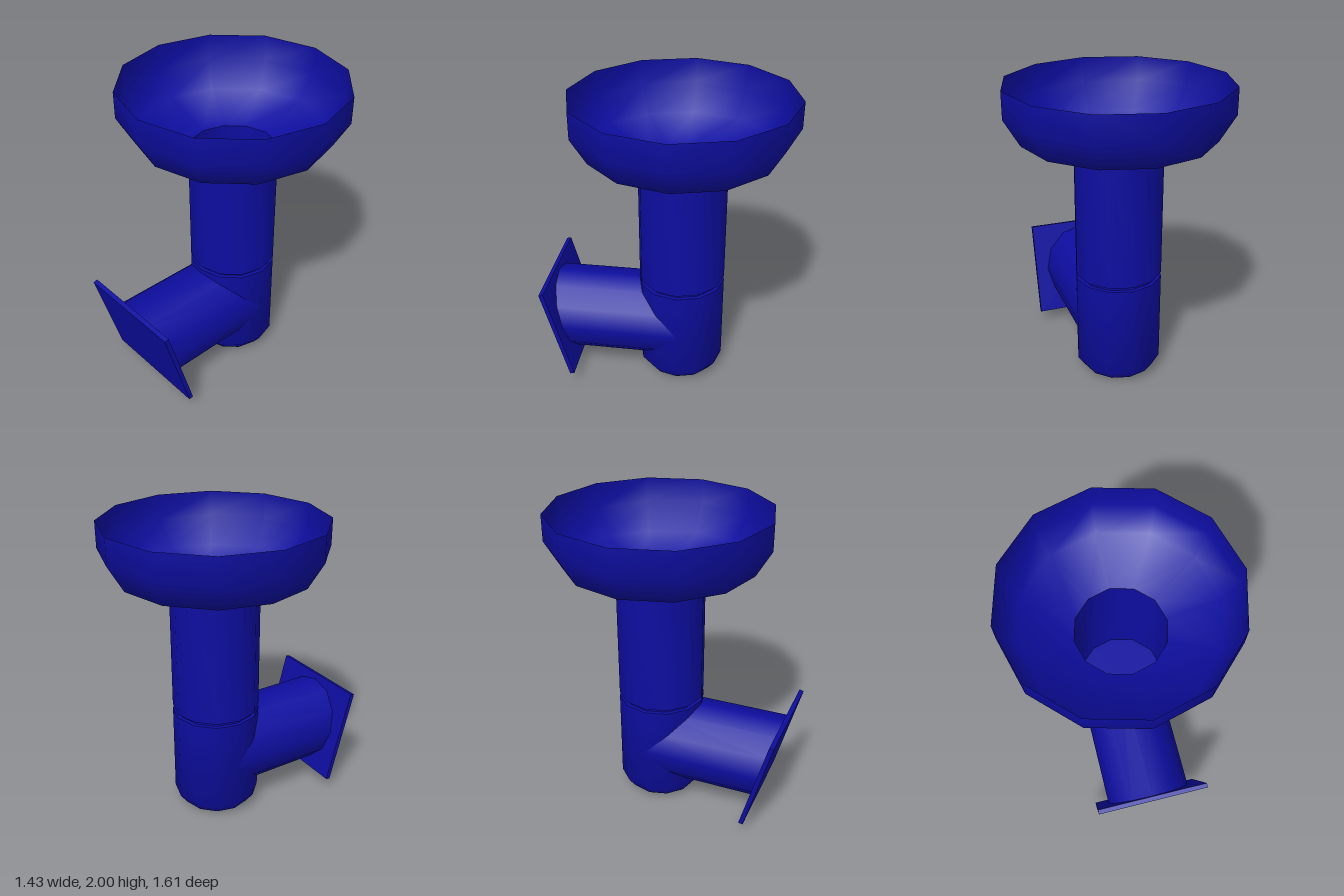
import * as THREE from 'three';
import { toCreasedNormals } from 'three/addons/utils/BufferGeometryUtils.js';

const SIDES = 12;
const R = 0.287;        // pipe radius
const NECK = 0.26;      // groove radius
const AXIS_Z = -0.092;  // upright pipe axis
const TILT = THREE.MathUtils.degToRad(15);
const PLATE = { y: 0.402, z: 0.703, width: 0.745, height: 0.66, depth: 0.03 };

export function createModel() {
  const group = new THREE.Group();
  const material = new THREE.MeshStandardMaterial({ color: 0x0d0da0, side: THREE.DoubleSide });

  const add = (name, geometry) => {
    const mesh = new THREE.Mesh(geometry, material);
    mesh.name = name;
    group.add(mesh);
    return mesh;
  };

  // Turned part around the upright axis, profile given bottom to top
  const turned = (name, profile) => {
    const points = profile.map(([r, y]) => new THREE.Vector2(r, y));
    const mesh = add(name, toCreasedNormals(new THREE.LatheGeometry(points, SIDES), 0.87));
    mesh.position.z = AXIS_Z;
    return mesh;
  };

  // Lower body: rounded foot with a small recess, and a capped neck on top
  turned('lowerBody', [
    [0, 0.02], [0.09, 0.02], [0.11, 0.004], [0.12, 0], [0.235, 0.025], [R, 0.095],
    [R, 0.715], [NECK, 0.715], [NECK, 0.742], [0, 0.742],
  ]);

  // Upper pipe flaring into the open bowl
  turned('pipeAndBowl', [
    [NECK, 0.742], [R, 0.742], [R, 1.545], [0.615, 1.66], [0.715, 1.83], [0.715, 2],
  ]);

  // Horizontal branch, its front end sheared to meet the tilted plate
  const branch = new THREE.CylinderGeometry(R, R, 1, SIDES, 1, true).rotateX(Math.PI / 2);
  const pos = branch.attributes.position;
  for (let i = 0; i < pos.count; i++) {
    const end = PLATE.z - 0.01 + pos.getY(i) * Math.tan(TILT);
    pos.setZ(i, pos.getZ(i) > 0 ? end : AXIS_Z);
  }
  add('branchPipe', branch).position.y = PLATE.y;

  // Tilted mounting plate
  const plate = add('mountingPlate', new THREE.BoxGeometry(PLATE.width, PLATE.height, PLATE.depth));
  plate.position.set(0, PLATE.y, PLATE.z);
  plate.rotation.x = TILT;

  return group;
}
